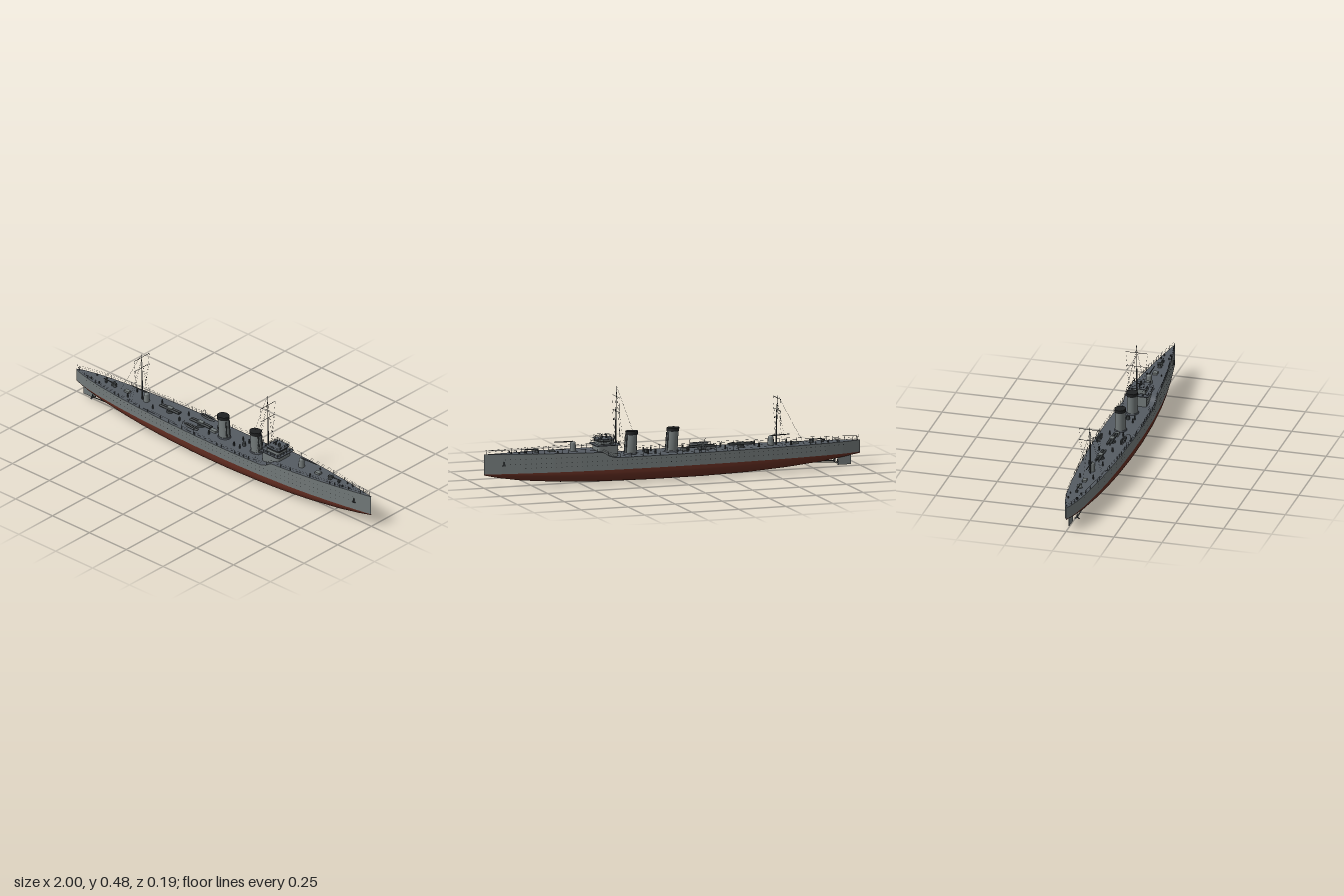
import * as THREE from 'three';
import { mergeGeometries } from 'three/addons/utils/BufferGeometryUtils.js';

const mat = (name, color, side = THREE.FrontSide) => {
  const m = new THREE.MeshStandardMaterial({ color, side });
  m.name = name;
  return m;
};

// Linear interpolation through [x, value] pairs
const lerpTable = (t, x) => {
  for (let i = 1; i < t.length; i++) {
    if (x <= t[i][0]) {
      const [x0, a] = t[i - 1], [x1, b] = t[i];
      return a + (b - a) * (x - x0) / (x1 - x0);
    }
  }
  return t[t.length - 1][1];
};

const WATER = 0.07;
const BEAM = [[-1, 0.001], [-0.98, 0.011], [-0.95, 0.02], [-0.9, 0.033], [-0.8, 0.05], [-0.65, 0.067],
  [-0.5, 0.079], [-0.3, 0.089], [-0.1, 0.094], [0.1, 0.094], [0.3, 0.088], [0.5, 0.075],
  [0.65, 0.059], [0.8, 0.037], [0.9, 0.02], [1, 0.001]];
const KEEL = [[-1, 0.064], [-0.9, 0.048], [-0.8, 0.034], [-0.6, 0.017], [-0.4, 0.006], [-0.15, 0.001], [0.15, 0.001],
  [0.4, 0.004], [0.6, 0.012], [0.8, 0.029], [0.92, 0.048], [1, 0.066]];
const DECK = [[-1, 0.131], [0.33, 0.131], [0.36, 0.14], [0.385, 0.157], [0.4, 0.161], [1, 0.172]];
const beam = (x) => lerpTable(BEAM, x);
const deckY = (x) => lerpTable(DECK, x);

// Surface from a grid of points
function grid(nu, nv, fn) {
  const pos = [], idx = [];
  for (let i = 0; i <= nu; i++) for (let j = 0; j <= nv; j++) pos.push(...fn(i / nu, j / nv));
  for (let i = 0; i < nu; i++) for (let j = 0; j < nv; j++) {
    const a = i * (nv + 1) + j, b = a + nv + 1;
    idx.push(a, b, b + 1, a, b + 1, a + 1);
  }
  const g = new THREE.BufferGeometry();
  g.setAttribute('position', new THREE.Float32BufferAttribute(pos, 3));
  g.setIndex(idx);
  g.computeVertexNormals();
  return g;
}

const box = (w, h, d, x, y, z = 0) => new THREE.BoxGeometry(w, h, d).translate(x, y, z);
const cyl = (r1, r2, h, x, y, z = 0, n = 16) => new THREE.CylinderGeometry(r1, r2, h, n).translate(x, y, z);
function rod(a, b, r = 0.0008, r2 = r, n = 5) {
  const A = new THREE.Vector3(...a), B = new THREE.Vector3(...b), d = B.clone().sub(A);
  const g = new THREE.CylinderGeometry(r2, r, d.length(), n);
  g.applyQuaternion(new THREE.Quaternion().setFromUnitVectors(new THREE.Vector3(0, 1, 0), d.normalize()));
  return g.translate(...A.add(B).multiplyScalar(0.5).toArray());
}

export function createModel() {
  const ship = new THREE.Group();
  ship.name = 'warship';
  const grey = mat('hull grey', 0x727979), deckGrey = mat('deck grey', 0x555b62), red = mat('bottom red', 0x652e22);
  const black = mat('funnel black', 0x1f2122), dark = mat('fitting dark grey', 0x3c4143);
  const boatGrey = mat('boat grey', 0x80868a, THREE.DoubleSide);
  const add = (name, material, ...geos) => {
    const m = new THREE.Mesh(geos.length > 1 ? mergeGeometries(geos) : geos[0], material);
    m.name = name;
    ship.add(m);
    return m;
  };

  // Hull: red underbody, grey topsides and deck
  const N = 200, X = (u) => -1 + 2 * u;
  add('underbody', red, grid(N, 28, (u, v) => {
    const x = X(u), k = lerpTable(KEEL, x), n = 3 - 1.5 * Math.pow(Math.abs(x), 1.5);
    const a = (v - 0.5) * Math.PI, s = Math.abs(Math.sin(a)), c = Math.max(0, Math.cos(a));
    return [x, WATER - (WATER - k) * Math.pow(c, 2 / n), Math.sign(a) * beam(x) * 0.99 * Math.pow(s, 2 / n)];
  }));
  for (const s of [1, -1]) {
    add(s > 0 ? 'leftTopside' : 'rightTopside', grey, grid(N, 3, (u, v) => {
      const x = X(u), t = s > 0 ? v : 1 - v;
      return [x, WATER + (deckY(x) - WATER) * t, s * beam(x) * (0.99 + 0.01 * t)];
    }));
  }
  add('deck', deckGrey, grid(N, 2, (u, v) => [X(u), deckY(X(u)), beam(X(u)) * (1 - 2 * v)]));

  // Portholes, rails and anchors along both sides
  const ports = [], rails = [], anchors = [];
  for (const s of [1, -1]) {
    for (let x = -0.9; x < 0.92; x += 0.026) {
      for (const y of [0.096, 0.117, 0.142]) {
        if ((y > 0.13 && x < 0.42) || (y < 0.1 && Math.abs(x) > 0.8)) continue;
        const g = new THREE.CircleGeometry(0.0022, 8);
        if (s < 0) g.rotateY(Math.PI);
        const slope = (beam(x + 0.01) - beam(x - 0.01)) / 0.02;
        ports.push(g.rotateY(-s * Math.atan(slope) * -1).translate(x, y, s * (beam(x) + 0.0006)));
      }
    }
    const edge = (x, h) => [x, deckY(x) + h, s * Math.max(0, beam(x) - 0.002)];
    for (let i = 0; i < 66; i++) {
      const x = -0.985 + i * 0.03, nx = Math.min(0.99, x + 0.03);
      rails.push(rod(edge(x, 0), edge(x, 0.019), 0.0006, 0.0006, 4));
      for (const h of [0.01, 0.019]) rails.push(rod(edge(x, h), edge(nx, h), 0.0004, 0.0004, 4));
    }
    const ax = 0.9, az = s * (beam(ax) + 0.003);
    anchors.push(box(0.005, 0.022, 0.005, ax, 0.122, az), box(0.018, 0.005, 0.006, ax, 0.112, az));
  }
  add('portholes', black, ...ports);
  add('railings', dark, ...rails);
  add('anchors', dark, ...anchors);

  // Raked oval funnels with black caps
  for (const [fx, h] of [[0.003, 0.122], [0.222, 0.117]]) {
    const shear = (g) => {
      const p = g.attributes.position;
      for (let i = 0; i < p.count; i++) p.setX(i, p.getX(i) - 0.07 * p.getY(i));
      g.computeVertexNormals();
      return g.translate(fx, 0.13, 0);
    };
    const tube = (r1, r2, y0, y1, open = false) => shear(
      new THREE.CylinderGeometry(r1, r2, y1 - y0, 28, 1, open).scale(1, 1, 0.88).translate(0, (y0 + y1) / 2, 0));
    add('funnel', grey, tube(0.029, 0.031, 0, h - 0.018));
    add('funnelBase', deckGrey, tube(0.034, 0.036, 0, 0.008));
    add('funnelCap', black, tube(0.032, 0.032, h - 0.018, h), tube(0.033, 0.033, h - 0.005, h - 0.001));
    for (const s of [1, -1]) {
      add('steamPipe', dark, rod([fx + 0.028, 0.13, s * 0.012], [fx + 0.021, 0.228, s * 0.012], 0.003));
    }
  }

  // Bridge: rounded tiers with overhanging decks, window band and rail
  const tier = (x0, x1, hw, y0, y1, r = 0.014) => {
    const s = new THREE.Shape();
    s.moveTo(x0, -hw).lineTo(x1 - r, -hw).quadraticCurveTo(x1, -hw, x1, -hw + r).lineTo(x1, hw - r);
    s.quadraticCurveTo(x1, hw, x1 - r, hw).lineTo(x0, hw);
    return new THREE.ExtrudeGeometry(s, { depth: y1 - y0, bevelEnabled: false, curveSegments: 5 })
      .rotateX(-Math.PI / 2).translate(0, y0, 0);
  };
  add('bridgeLower', grey, tier(0.305, 0.41, 0.048, 0.131, 0.187));
  add('bridgeDeck', deckGrey, tier(0.293, 0.422, 0.06, 0.187, 0.191));
  add('bridgeUpper', grey, tier(0.325, 0.402, 0.036, 0.191, 0.217));
  add('bridgeRoof', deckGrey, tier(0.318, 0.41, 0.046, 0.217, 0.22));
  add('bridgeWindows', black, tier(0.33, 0.404, 0.038, 0.205, 0.212));
  const bridgeRail = [];
  const railRing = (x0, x1, hw, y, h) => {
    const c = [[x0, -hw], [x1, -hw], [x1, hw], [x0, hw]];
    c.forEach(([x, z], i) => {
      const [nx, nz] = c[(i + 1) % 4];
      for (const k of [0.5, 1]) bridgeRail.push(rod([x, y + h * k, z], [nx, y + h * k, nz], 0.0006));
      for (let t = 0; t < 1; t += 0.2) {
        const px = x + (nx - x) * t, pz = z + (nz - z) * t;
        bridgeRail.push(rod([px, y, pz], [px, y + h, pz], 0.0006));
      }
    });
  };
  railRing(0.298, 0.416, 0.056, 0.191, 0.014);
  railRing(0.322, 0.405, 0.043, 0.22, 0.014);
  add('bridgeRails', dark, ...bridgeRail);
  add('compassStand', dark, cyl(0.005, 0.006, 0.018, 0.375, 0.229));
  add('rangefinder', dark, rod([0.35, 0.236, -0.016], [0.35, 0.236, 0.016], 0.003), cyl(0.004, 0.004, 0.016, 0.35, 0.228));

  // Shielded guns: round housing with a long barrel
  for (const [x, dir] of [[0.527, 1], [-0.525, -1]]) {
    const y = deckY(x);
    add('gunHousing', grey, cyl(0.014, 0.016, 0.04, x, y + 0.02, 0, 20),
      new THREE.SphereGeometry(0.014, 20, 6, 0, Math.PI * 2, 0, Math.PI / 2).scale(1, 0.6, 1).translate(x, y + 0.04, 0));
    add('gunBarrel', dark, rod([x, y + 0.048, 0], [x + dir * 0.1, y + 0.05, 0], 0.0035, 0.002, 8));
  }

  // Open deck guns at bow and stern
  for (const [x, dir] of [[0.72, 1], [-0.74, -1]]) {
    const y = deckY(x);
    add('deckGunMount', dark, cyl(0.006, 0.011, 0.014, x, y + 0.007), box(0.018, 0.008, 0.012, x, y + 0.015));
    add('deckGunShield', grey, box(0.003, 0.018, 0.026, x + dir * 0.01, y + 0.014));
    add('deckGunBarrel', dark, rod([x, y + 0.016, 0], [x + dir * 0.075, y + 0.018, 0], 0.0028, 0.0018, 8));
  }

  // Torpedo tubes on turntables
  for (const [x, len] of [[-0.365, 0.13], [-0.155, 0.135]]) {
    const g = [cyl(0.017, 0.019, 0.01, x, 0.136)];
    for (const z of [-0.007, 0.007]) g.push(rod([x - len / 2, 0.148, z], [x + len / 2, 0.148, z], 0.006, 0.006, 10));
    add('torpedoTubes', dark, ...g);
    add('torpedoMountTop', grey, box(0.034, 0.004, 0.022, x, 0.155));
  }

  // Ship's boats with thwarts and davits
  for (const s of [1, -1]) {
    const bx = -0.165, bz = s * 0.062;
    add('boat', boatGrey, grid(14, 8, (u, v) => {
      const w = 0.013 * Math.pow(Math.sin(Math.PI * u), 0.6), a = (v - 0.5) * Math.PI;
      return [bx + (u - 0.5) * 0.105, 0.156 - 0.018 * Math.cos(a) * Math.pow(Math.sin(Math.PI * u) + 1e-6, 0.3), bz + w * Math.sin(a)];
    }));
    const seats = [];
    for (let i = -3; i <= 3; i++) seats.push(box(0.004, 0.002, 0.021 - Math.abs(i) * 0.002, bx + i * 0.012, 0.153, bz));
    add('boatThwarts', dark, ...seats);
    for (const dx of [-0.04, 0.04]) {
      const path = new THREE.CatmullRomCurve3([[0.088, 0.131], [0.088, 0.155], [0.083, 0.168], [0.066, 0.17]]
        .map(([z, y]) => new THREE.Vector3(bx + dx, y, s * z)));
      add('davit', dark, new THREE.TubeGeometry(path, 10, 0.0013, 5));
    }
  }

  // Masts with yards and rigging
  function mast(x, y0, top, yards, stayEnd) {
    const tip = [x - 0.008, top, 0], mid = y0 + (top - y0) * 0.6;
    add('mast', dark, rod([x, y0, 0], [x - 0.004, mid, 0], 0.004, 0.003, 8), rod([x - 0.004, mid, 0], tip, 0.0022, 0.001, 6));
    const lines = [rod(tip, stayEnd, 0.0005)];
    for (const [y, hw] of yards) {
      add('yard', dark, rod([x - 0.005, y, -hw], [x - 0.005, y, hw], 0.0013));
      for (const s of [1, -1]) lines.push(rod([x - 0.005, y, s * hw], [x - 0.01, y0 + 0.05, s * 0.028], 0.0004, 0.0004, 4));
    }
    for (const s of [1, -1]) for (const dx of [-0.03, -0.012])
      lines.push(rod([x - 0.006, top - 0.03, 0], [x + dx, y0 + 0.002, s * 0.07], 0.0004, 0.0004, 4));
    add('rigging', dark, ...lines);
  }
  mast(0.302, 0.131, 0.478, [[0.427, 0.057], [0.353, 0.055]], [0.21, 0.25, 0]);
  mast(-0.553, 0.131, 0.385, [[0.37, 0.057], [0.31, 0.057]], [-0.655, 0.21, 0]);
  add('aftStay', dark, rod([-0.655, 0.21, 0], [-0.7, 0.131, 0], 0.0005));

  // Deck fittings: vents, skylights, bollards, capstans
  const fittings = [];
  for (const x of [0.1, 0.14, -0.07, -0.27, -0.45, -0.62]) {
    for (const s of [1, -1]) fittings.push(cyl(0.004, 0.004, 0.022, x, 0.142, s * 0.035, 10));
  }
  for (const x of [0.62, 0.82, 0.86, -0.82, -0.88]) {
    for (const s of [1, -1]) fittings.push(cyl(0.0035, 0.0035, 0.009, x, deckY(x) + 0.0045, s * beam(x) * 0.6, 8));
  }
  for (const x of [0.78, -0.8]) fittings.push(cyl(0.007, 0.006, 0.012, x, deckY(x) + 0.006, 0, 12));
  fittings.push(cyl(0.009, 0.009, 0.02, 0.138, 0.141));
  add('deckFittings', dark, ...fittings);
  add('skylights', grey, box(0.03, 0.01, 0.02, -0.655, 0.136), box(0.04, 0.012, 0.022, -0.07, 0.137), box(0.03, 0.012, 0.024, 0.64, 0.17));
  add('jackstaff', dark, rod([0.985, 0.17, 0], [0.985, 0.188, 0]), rod([-0.985, 0.131, 0], [-0.995, 0.16, 0]));

  // Rudder, shafts and propellers
  add('rudder', grey, box(0.07, 0.047, 0.005, -0.915, 0.033));
  for (const s of [1, -1]) {
    const z = s * 0.022;
    add('propellerShaft', dark, rod([-0.87, 0.028, z], [-0.7, 0.038, z], 0.0025, 0.0025, 8), rod([-0.855, 0.028, z], [-0.85, 0.055, z * 0.7], 0.0018));
    const blades = [cyl(0.004, 0.004, 0.01, 0, 0, 0, 10).rotateZ(Math.PI / 2)];
    for (let i = 0; i < 3; i++) {
      blades.push(box(0.002, 0.013, 0.008, 0, 0, 0).rotateY(0.5).translate(0, 0.008, 0).rotateX(i * Math.PI * 2 / 3));
    }
    add('propeller', dark, ...blades).position.set(-0.872, 0.028, z);
  }
  return ship;
}
